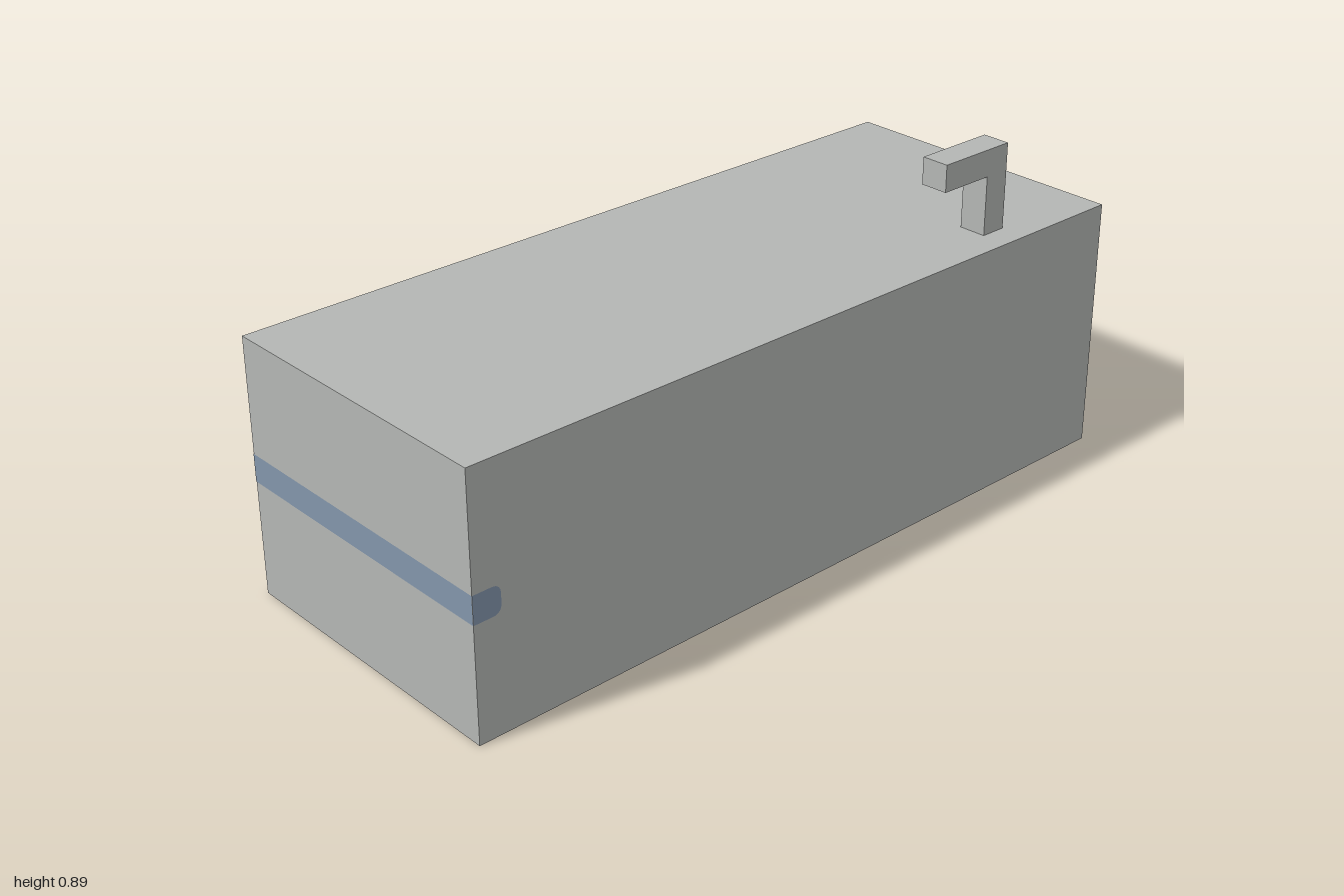
import * as THREE from 'three';

const W = 2, H = 0.667, D = 0.81;
const BAND_Y = 0.299, BAND_H = 0.072, TIP = 0.073, LIFT = 0.001;

export function createModel() {
  const model = new THREE.Group();
  const grey = new THREE.MeshStandardMaterial({ color: 0xb4b6b4 });
  grey.name = 'grey';
  const blue = new THREE.MeshStandardMaterial({ color: 0x8395ab });
  blue.name = 'blue';

  function add(name, geometry, material, parent = model) {
    const mesh = new THREE.Mesh(geometry, material);
    mesh.name = name;
    parent.add(mesh);
    return mesh;
  }

  // Solid block standing on the ground
  add('body', new THREE.BoxGeometry(W, H, D).translate(0, H / 2, 0), grey);

  // Angled spout on the top, extruded from its L profile
  const profile = new THREE.Shape([
    [0.63, H], [0.7, H], [0.7, 0.89], [0.48, 0.89], [0.48, 0.82], [0.63, 0.82],
  ].map(([x, y]) => new THREE.Vector2(x, y)));
  const spout = new THREE.ExtrudeGeometry(profile, { depth: 0.074, bevelEnabled: false });
  add('spout', spout.translate(0, 0, 0.26), grey);

  // Blue band painted round the back and one end, with rounded tips past the corners
  const band = new THREE.Group();
  band.name = 'band';
  model.add(band);

  function tipShape(r) {
    const s = new THREE.Shape();
    s.moveTo(0, 0);
    s.lineTo(TIP - r, 0);
    s.quadraticCurveTo(TIP, 0, TIP, r);
    s.lineTo(TIP, BAND_H - r);
    s.quadraticCurveTo(TIP, BAND_H, TIP - r, BAND_H);
    s.lineTo(0, BAND_H);
    return new THREE.ShapeGeometry(s);
  }

  const back = add('backBand', new THREE.PlaneGeometry(W, BAND_H), blue, band);
  back.position.set(0, BAND_Y + BAND_H / 2, -D / 2 - LIFT);
  back.rotation.y = Math.PI;

  const end = add('endBand', new THREE.PlaneGeometry(D, BAND_H), blue, band);
  end.position.set(-W / 2 - LIFT, BAND_Y + BAND_H / 2, 0);
  end.rotation.y = -Math.PI / 2;

  add('frontBandTip', tipShape(0.025), blue, band)
    .position.set(-W / 2, BAND_Y, D / 2 + LIFT);

  // The side tip runs forward from the back corner
  const sideTip = tipShape(0.015).rotateY(Math.PI / 2).translate(0, 0, TIP);
  add('sideBandTip', sideTip.translate(0, 0, -TIP).scale(1, 1, -1), blue, band)
    .position.set(W / 2 + LIFT, BAND_Y, -D / 2);
  blue.side = THREE.DoubleSide;

  return model;
}
